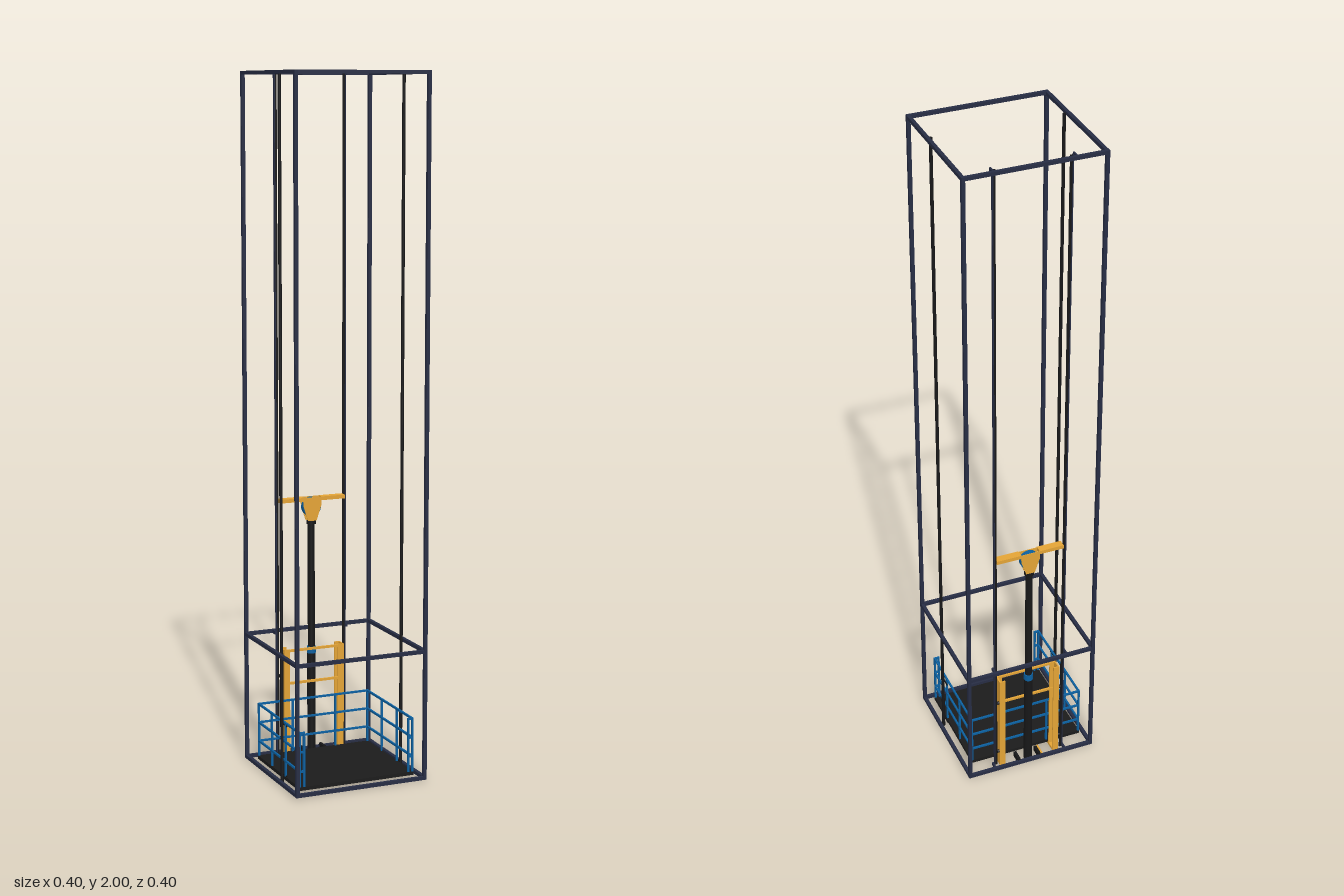
import * as THREE from 'three';

const mat = (name, color) => Object.assign(new THREE.MeshStandardMaterial({ color }), { name });

export function createModel() {
  const root = new THREE.Group();
  root.name = 'goodsLift';
  const navy = mat('frame navy', 0x272d44);
  const black = mat('steel black', 0x171718);
  const floorGrey = mat('floor charcoal', 0x1b1b1b);
  const blue = mat('railing blue', 0x0b60a0);
  const orange = mat('carriage orange', 0xe4a436);

  const group = (name) => {
    const g = new THREE.Group();
    g.name = name;
    root.add(g);
    return g;
  };
  const add = (parent, name, geo, m, x = 0, y = 0, z = 0) => {
    const mesh = new THREE.Mesh(geo, m);
    mesh.name = name;
    mesh.position.set(x, y, z);
    parent.add(mesh);
    return mesh;
  };
  // Box given by its minimum and maximum on each axis
  const box = (parent, name, m, x0, x1, y0, y1, z0, z1) =>
    add(parent, name, new THREE.BoxGeometry(x1 - x0, y1 - y0, z1 - z0), m, (x0 + x1) / 2, (y0 + y1) / 2, (z0 + z1) / 2);
  const rod = (parent, name, m, r, x, z, y0, y1) =>
    add(parent, name, new THREE.CylinderGeometry(r, r, y1 - y0, 24), m, x, (y0 + y1) / 2, z);
  const sides = [-1, 1];

  // Shaft frame: four posts and three rings
  const shaft = group('shaftFrame');
  const X = 0.201, Z = 0.1975, T = 0.01;
  for (const s of sides) {
    for (const t of sides) {
      add(shaft, 'cornerPost', new THREE.BoxGeometry(T, 1.99, T), navy, s * (X - T / 2), 1.005, t * (Z - T / 2));
    }
    for (const y of [0.011, 0.382, 1.995]) {
      add(shaft, 'ringSide', new THREE.BoxGeometry(T, T, 2 * Z), navy, s * (X - T / 2), y, 0);
      add(shaft, 'ringFrontBack', new THREE.BoxGeometry(2 * X, T, T), navy, 0, y, s * (Z - T / 2));
    }
  }

  // Side guide rods and slim rear T-section guide rails on brackets
  const guides = group('guides');
  for (const s of sides) {
    rod(guides, 'sideGuideRod', black, 0.0047, s * 0.186, 0.055, 0.006, 1.995);
    add(guides, 'railBase', new THREE.BoxGeometry(0.0025, 1.985, 0.009), navy, s * 0.1095, 1.0025, -0.173);
    add(guides, 'railNose', new THREE.BoxGeometry(0.007, 1.985, 0.003), black, s * 0.105, 1.0025, -0.173);
    for (const y of [0.011, 0.382, 1.995]) {
      add(guides, 'railBracket', new THREE.BoxGeometry(0.005, 0.01, 0.023), navy, s * 0.1135, y, -0.1795);
    }
    for (const y of [0.025, 0.175]) {
      add(guides, 'guideShoe', new THREE.BoxGeometry(0.002, 0.006, 0.03), black, s * 0.177, y, 0.056);
    }
  }

  // Platform
  const x0 = -0.18, x1 = 0.173, z0 = -0.146, z1 = 0.168;
  const platform = group('platform');
  box(platform, 'platformFloor', floorGrey, x0, x1, 0.015, 0.025, z0, z1);

  // Railings on both sides and the back, with short returns at the front
  const railings = group('railings');
  const B = 0.0055, yTop = 0.184;
  const post = (x, z) => box(railings, 'railingPost', blue, x - B / 2, x + B / 2, 0.025, yTop, z - B / 2, z + B / 2);
  const xa = x0 + B / 2, xb = x1 - B / 2, za = z0 + B / 2, zb = z1 - B / 2;
  for (const y of [0.07, 0.126, yTop - B / 2]) {
    for (const x of [xa, xb]) box(railings, 'sideRail', blue, x - B / 2, x + B / 2, y - B / 2, y + B / 2, z0, z1);
    box(railings, 'backRail', blue, x0, x1, y - B / 2, y + B / 2, z0, z0 + B);
    box(railings, 'frontReturnRail', blue, x0, x0 + 0.018, y - B / 2, y + B / 2, z1 - B, z1);
    box(railings, 'frontReturnRail', blue, x1 - 0.018, x1, y - B / 2, y + B / 2, z1 - B, z1);
  }
  for (const x of [xa, xb]) for (const z of [za, -0.042, 0.062, zb]) post(x, z);
  for (const x of [-0.071, 0.066]) post(x, za);
  for (const x of [x0 + 0.018 - B / 2, x1 - 0.018 + B / 2]) post(x, zb);

  // Carriage: channel uprights, cross bars and forks under the floor
  const carriage = group('carriage');
  for (const s of sides) {
    const upright = new THREE.Group();
    upright.name = 'upright';
    carriage.add(upright);
    add(upright, 'uprightWeb', new THREE.BoxGeometry(0.004, 0.325, 0.033), orange, s * 0.093, 0.17, -0.1635);
    for (const z of [-0.178, -0.149]) {
      add(upright, 'uprightFlange', new THREE.BoxGeometry(0.018, 0.325, 0.004), orange, s * 0.086, 0.17, z);
    }
    for (const y of [0.06, 0.25]) {
      const roller = add(upright, 'guideRoller', new THREE.CylinderGeometry(0.005, 0.005, 0.006, 20), black, s * 0.098, y, -0.173);
      roller.rotation.z = Math.PI / 2;
    }
    add(carriage, 'fork', new THREE.BoxGeometry(0.012, 0.008, 0.17), orange, s * 0.083, 0.0105, -0.096);
  }
  for (const y of [0.23, 0.328]) box(carriage, 'crossBar', orange, -0.095, 0.095, y - 0.0035, y + 0.0035, -0.153, -0.147);

  // Hydraulic ram on two floor bearers, with a valve arm beside it
  const ram = group('hydraulicRam');
  const zr = -0.169;
  for (const x of [-0.029, 0.037]) box(ram, 'floorBearer', black, x - 0.004, x + 0.004, 0.006, 0.024, -0.19, -0.157);
  box(ram, 'valveArm', orange, -0.041, -0.034, 0.008, 0.018, -0.187, -0.15);
  rod(ram, 'ramFoot', black, 0.0125, 0, zr, 0, 0.01);
  rod(ram, 'ramCylinder', black, 0.0125, 0, zr, 0.01, 0.31);
  rod(ram, 'ramCollar', blue, 0.0135, 0, zr, 0.31, 0.33);
  rod(ram, 'ramPiston', black, 0.0105, 0, zr, 0.33, 0.7);
  rod(ram, 'ramCap', black, 0.014, 0, zr, 0.698, 0.708);

  // Crosshead: beam halves, tapered cheek plates and the sheave
  const head = group('crosshead');
  for (const s of sides) {
    add(head, 'beamHalf', new THREE.BoxGeometry(0.074, 0.011, 0.023), orange, s * 0.065, 0.773, zr + 0.001);
  }
  const cheek = new THREE.Shape([[-0.029, 0.778], [-0.028, 0.752], [-0.013, 0.708], [0.013, 0.708], [0.028, 0.752], [0.029, 0.778]]
    .map(([x, y]) => new THREE.Vector2(x, y)));
  for (const z of [zr - 0.0105, zr + 0.009]) {
    add(head, 'cheekPlate', new THREE.ExtrudeGeometry(cheek, { depth: 0.0015, bevelEnabled: false }), orange, 0, 0, z);
  }
  const sheave = add(head, 'sheave', new THREE.CylinderGeometry(0.028, 0.028, 0.017, 32), blue, 0, 0.749, zr);
  sheave.rotation.x = Math.PI / 2;
  return root;
}
